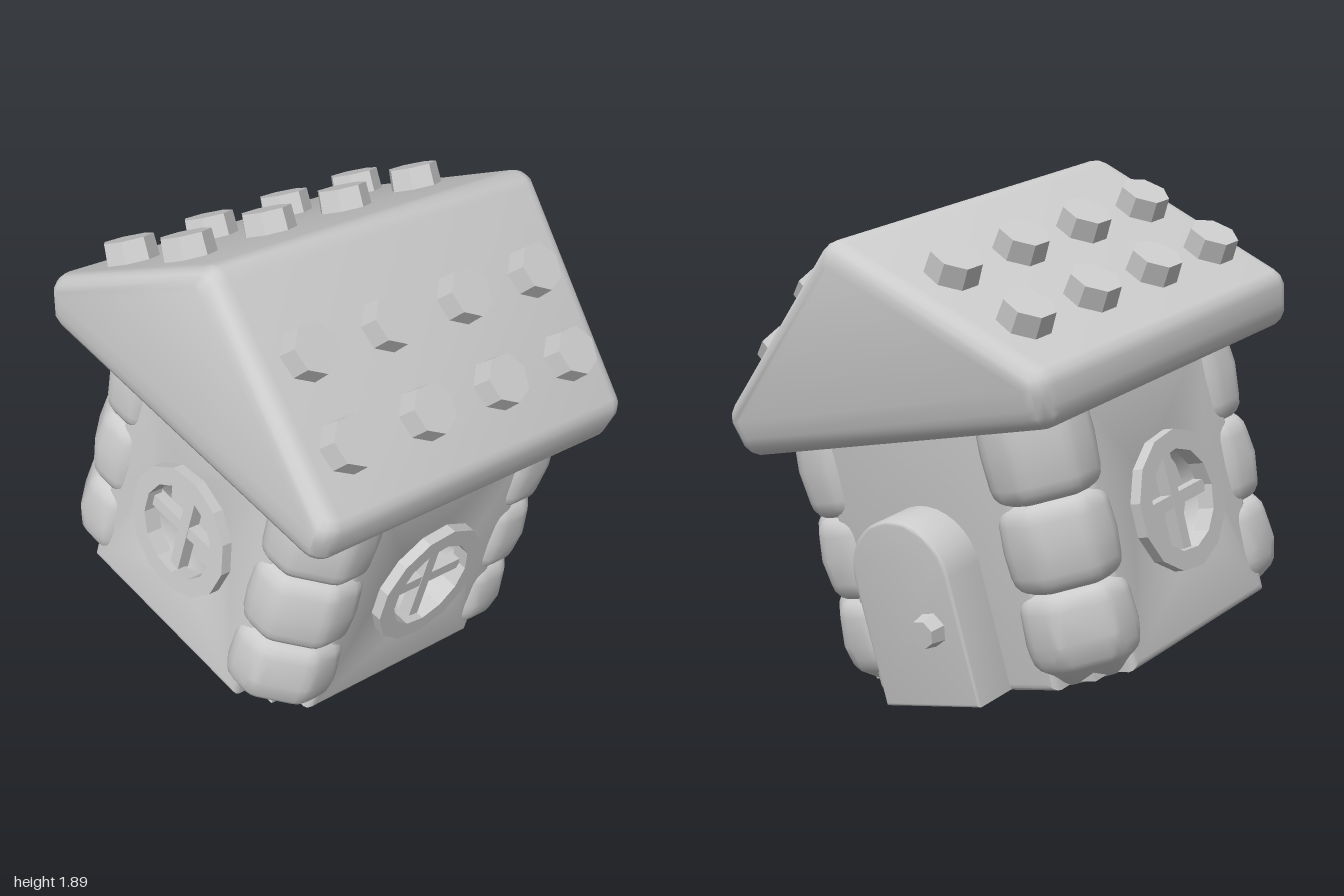
import * as THREE from 'three';
import { mergeVertices, toCreasedNormals } from 'three/addons/utils/BufferGeometryUtils.js';
import { ConvexGeometry } from 'three/addons/geometries/ConvexGeometry.js';

const grey = new THREE.MeshStandardMaterial({ color: 0xcccccc });
grey.name = 'grey';

// Convex solid with soft edges: a hull around a ball of radius r at each point
function softHull(points, r) {
  const ball = new THREE.SphereGeometry(r, 16, 8).getAttribute('position');
  const cloud = [];
  for (const p of points) {
    for (let i = 0; i < ball.count; i++) cloud.push(new THREE.Vector3().fromBufferAttribute(ball, i).add(p));
  }
  return toCreasedNormals(new ConvexGeometry(cloud), 0.8);
}

// Flat slab with a small bevel, starting at z = 0
function slab(shape, depth, bevel) {
  const geo = new THREE.ExtrudeGeometry(shape, {
    depth: depth - 2 * bevel, bevelEnabled: true, bevelThickness: bevel,
    bevelSize: bevel, bevelOffset: -bevel, bevelSegments: 3, curveSegments: 8,
  });
  geo.translate(0, 0, bevel);
  geo.deleteAttribute('normal');
  geo.deleteAttribute('uv');
  return toCreasedNormals(mergeVertices(geo, 1e-4), 0.7);
}

function add(parent, name, geo) {
  const mesh = new THREE.Mesh(geo, grey);
  mesh.name = name;
  parent.add(mesh);
  return mesh;
}

function polygon(path, r, sides) {
  for (let i = 0; i < sides; i++) {
    const t = (i / sides) * Math.PI * 2;
    path[i ? 'lineTo' : 'moveTo'](r * Math.cos(t), r * Math.sin(t));
  }
  path.closePath();
  return path;
}

// Faceted knob or stud
function faceted(rTop, rBottom, height) {
  const geo = new THREE.CylinderGeometry(rTop, rBottom, height, 7).toNonIndexed();
  geo.computeVertexNormals();
  return geo;
}

// Round window with a cross, centred on its own origin and facing +z
function buildWindow() {
  const win = new THREE.Group();
  win.name = 'window';
  const ring = polygon(new THREE.Shape(), 0.25, 13);
  ring.holes.push(polygon(new THREE.Path(), 0.18, 13));
  add(win, 'windowFrame', new THREE.ExtrudeGeometry(ring, { depth: 0.065, bevelEnabled: false }));
  add(win, 'windowBarUpright', new THREE.BoxGeometry(0.045, 0.37, 0.05)).position.z = 0.01;
  add(win, 'windowBarLevel', new THREE.BoxGeometry(0.37, 0.045, 0.045)).position.z = 0.01;
  return win;
}

// Arched door standing proud of the wall, with a faceted knob
function buildDoor() {
  const door = new THREE.Group();
  door.name = 'door';
  const arch = new THREE.Shape();
  arch.moveTo(-0.22, -0.925);
  arch.lineTo(0.22, -0.925);
  arch.lineTo(0.22, -0.46);
  arch.absellipse(0, -0.46, 0.22, 0.21, 0, Math.PI);
  arch.closePath();
  add(door, 'doorSlab', slab(arch, 0.22, 0.012)).position.z = 0.57;
  const stem = add(door, 'doorKnobStem', new THREE.CylinderGeometry(0.03, 0.03, 0.06, 7));
  const knob = add(door, 'doorKnob', faceted(0.05, 0.062, 0.055));
  stem.rotation.x = knob.rotation.x = Math.PI / 2;
  stem.position.set(0.12, -0.63, 0.81);
  knob.position.set(0.12, -0.63, 0.845);
  return door;
}

// Wall panel between two corners, optionally with a round opening
function wallPanel(open) {
  const shape = new THREE.Shape();
  shape.moveTo(-0.42, -0.935);
  shape.lineTo(0.42, -0.935);
  shape.lineTo(0.42, 0.1);
  shape.lineTo(-0.42, 0.1);
  shape.closePath();
  if (open) {
    const hole = new THREE.Path();
    hole.absarc(0, -0.45, 0.2, 0, Math.PI * 2, true);
    shape.holes.push(hole);
  }
  return slab(shape, 0.13, 0.03);
}

// Pillow-like corner block between two heights
function cornerBlock(y0, y1, tuck) {
  const r = 0.075;
  const points = [];
  for (const [y, out] of [[y0 + r, -tuck], [y0 + r + tuck, 0], [(y0 + y1) / 2, 0.008], [y1 - r, 0]]) {
    const a = 0.4, b = 0.565 + out, c = 0.47 + out;
    for (const [x, z] of [[a, a], [b, a], [b, c], [c, b], [a, b]]) points.push(new THREE.Vector3(x, y, z));
  }
  return softHull(points, r);
}

export function createModel() {
  const house = new THREE.Group();
  house.name = 'house';

  // Body, with y = 0 at the underside of the roof
  const body = new THREE.Group();
  body.name = 'body';
  body.position.set(0.015, 0, 0.03);
  house.add(body);
  add(body, 'bodyCore', new THREE.BoxGeometry(1.04, 1.01, 1.04)).position.y = -0.425;

  // Four alike sides, one of them holding the door
  const blocks = [cornerBlock(-0.29, 0.1, 0), cornerBlock(-0.6, -0.27, 0), cornerBlock(-0.945, -0.58, 0.06)];
  for (let k = 0; k < 4; k++) {
    const side = new THREE.Group();
    side.name = 'wallSide';
    side.rotation.y = (k * Math.PI) / 2;
    body.add(side);
    const isDoor = k === 1;
    add(side, 'wallPanel', wallPanel(!isDoor)).position.z = 0.488;
    for (const block of blocks) add(side, 'cornerBlock', block);
    if (isDoor) side.add(buildDoor());
    else {
      const win = buildWindow();
      win.position.set(0, -0.455, 0.595);
      side.add(win);
    }
  }

  // Soft gabled roof running along x, a little longer at the ridge
  const roofPoints = [];
  for (const s of [-1, 1]) {
    roofPoints.push(new THREE.Vector3(s * 0.72, 0.63, 0));
    for (const t of [-1, 1]) {
      roofPoints.push(new THREE.Vector3(s * 0.675, 0.07, t * 0.66), new THREE.Vector3(s * 0.685, 0.135, t * 0.67));
    }
  }
  add(house, 'roof', softHull(roofPoints, 0.08));

  // Two rows of faceted studs on each slope
  const pitch = 0.495 / 0.67;
  const studGeo = faceted(0.092, 0.1, 0.14);
  for (const s of [-1, 1]) {
    for (const z of [0.3, 0.56]) {
      for (let i = 0; i < 4; i++) {
        const stud = add(house, 'roofStud', studGeo);
        stud.position.set(-0.56 + i * 0.367, 0.74 - pitch * z, s * z);
        stud.rotation.x = s * Math.atan(pitch);
      }
    }
  }

  // Turn and lean the whole house
  const ridge = new THREE.Vector3(0.83, -0.165, -0.53).normalize();
  const up = new THREE.Vector3(0.53, -0.17, 0.83).cross(ridge).normalize();
  const across = new THREE.Vector3().crossVectors(ridge, up);
  house.quaternion.setFromRotationMatrix(new THREE.Matrix4().makeBasis(ridge, up, across));

  // Stand on the ground, centred
  const model = new THREE.Group();
  model.name = 'leaningHouse';
  model.add(house);
  const box = new THREE.Box3().setFromObject(model, true);
  const mid = box.getCenter(new THREE.Vector3());
  house.position.set(-mid.x, -box.min.y, -mid.z);
  return model;
}
